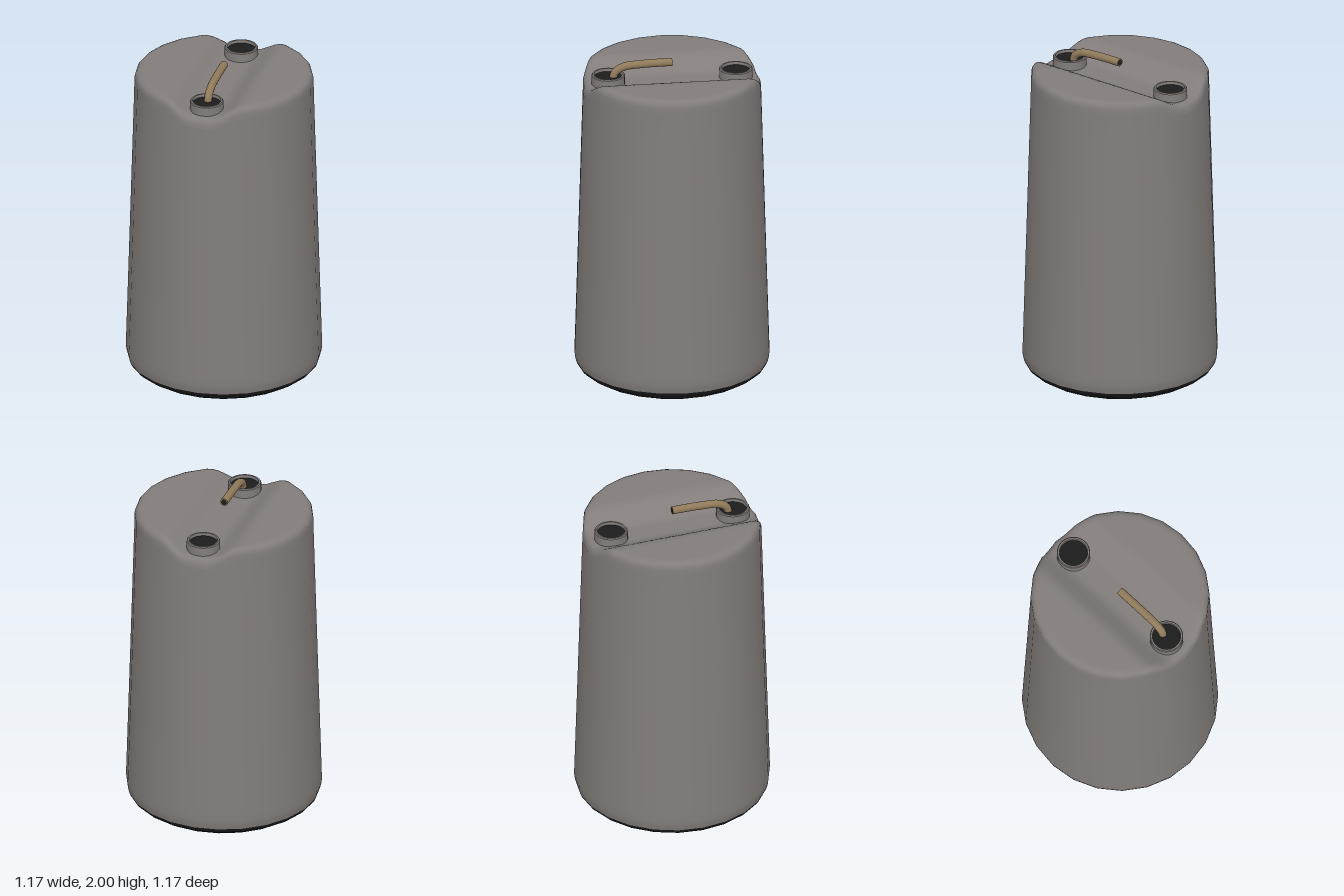
import * as THREE from 'three';
import { mergeVertices } from 'three/addons/utils/BufferGeometryUtils.js';

const SIDES = 24, SEGMENTS = 96;

// Depth of the trough that runs front to back across the lid
function troughDepth(x) {
  return 0.08 * (1 - THREE.MathUtils.smoothstep(Math.abs(x), 0.06, 0.25));
}

// Lathe with a 24-sided outline and soft shading; upper points sink into the trough
function drumGeometry(profile) {
  const points = profile.map(([r, y]) => new THREE.Vector2(r, y));
  let geo = new THREE.LatheGeometry(points, SEGMENTS);
  geo.deleteAttribute('uv');
  geo.deleteAttribute('normal');
  const pos = geo.attributes.position;
  for (let i = 0; i < pos.count; i++) {
    const y = pos.getY(i);
    if (y > 1.8) {
      const amount = Math.min(1, (y - 1.8) / 0.08);
      pos.setY(i, y - troughDepth(pos.getX(i)) * amount);
    }
  }
  geo = mergeVertices(geo, 1e-5);
  geo.computeVertexNormals();
  // Flatten the round outline to the polygon, keeping the round normals
  const p = geo.attributes.position, step = (2 * Math.PI) / SIDES;
  for (let i = 0; i < p.count; i++) {
    const a = Math.atan2(p.getX(i), p.getZ(i)) + 2 * Math.PI;
    const k = Math.cos(step / 2) / Math.cos((a % step) - step / 2);
    p.setX(i, p.getX(i) * k);
    p.setZ(i, p.getZ(i) * k);
  }
  return geo;
}

export function createModel() {
  const group = new THREE.Group();
  const mat = (name, color) => {
    const m = new THREE.MeshStandardMaterial({ color });
    m.name = name;
    return m;
  };
  const grey = mat('grey plastic', 0x827d7b);
  const black = mat('black rubber', 0x1c1c1c);
  const brass = mat('dull brass', 0x907a5a);

  const add = (name, geo, material, x = 0, y = 0, z = 0) => {
    const mesh = new THREE.Mesh(geo, material);
    mesh.name = name;
    mesh.position.set(x, y, z);
    group.add(mesh);
    return mesh;
  };

  // Tapered wall, rounded rim and lid in one skin
  const profile = [
    [0.577, 0.065], [0.584, 0.095], [0.587, 0.125], [0.585, 0.18], [0.562, 0.95],
    [0.54, 1.7], [0.537, 1.8], [0.536, 1.86], [0.535, 1.895],
    [0.53, 1.915], [0.52, 1.93], [0.503, 1.938], [0.485, 1.94],
  ];
  for (let r = 0.46; r > 0.01; r -= 0.023) profile.push([r, 1.94]);
  profile.push([0, 1.94]);
  add('body', drumGeometry(profile), grey);

  // Dark foot and the plain underside within it
  add('foot', drumGeometry([[0.41, 0], [0.49, 0], [0.507, 0.002], [0.555, 0.033], [0.57, 0.048], [0.577, 0.065]]), black);
  add('underside', new THREE.CircleGeometry(0.41, SIDES).rotateX(Math.PI / 2), grey);

  // Two filler necks with dark openings
  const neck = [[0.1, 1.83], [0.1, 1.914], [0.1, 1.914], [0.095, 1.92], [0.095, 1.92],
    [0.085, 1.92], [0.085, 1.92], [0.083, 1.9]].map(([r, y]) => new THREE.Vector2(r, y));
  for (const [side, z] of [['front', 0.385], ['back', -0.385]]) {
    add(side + 'Neck', new THREE.LatheGeometry(neck, 32), grey, 0, 0, z);
    add(side + 'Opening', new THREE.CircleGeometry(0.085, 32).rotateX(-Math.PI / 2), black, 0, 1.902, z);
  }

  // Bent pipe rising from the front opening to the middle
  const path = new THREE.CatmullRomCurve3([
    [1.88, 0.358], [1.93, 0.343], [1.962, 0.29], [1.973, 0.18], [1.976, 0.08], [1.976, 0],
  ].map(([y, z]) => new THREE.Vector3(0, y, z)));
  add('pipe', new THREE.TubeGeometry(path, 32, 0.024, 16), brass);
  add('pipeEnd', new THREE.RingGeometry(0.018, 0.024, 16).rotateY(Math.PI), brass, 0, 1.976, 0);
  add('pipeBore', new THREE.CircleGeometry(0.018, 16).rotateY(Math.PI), black, 0, 1.976, 0);

  return group;
}
